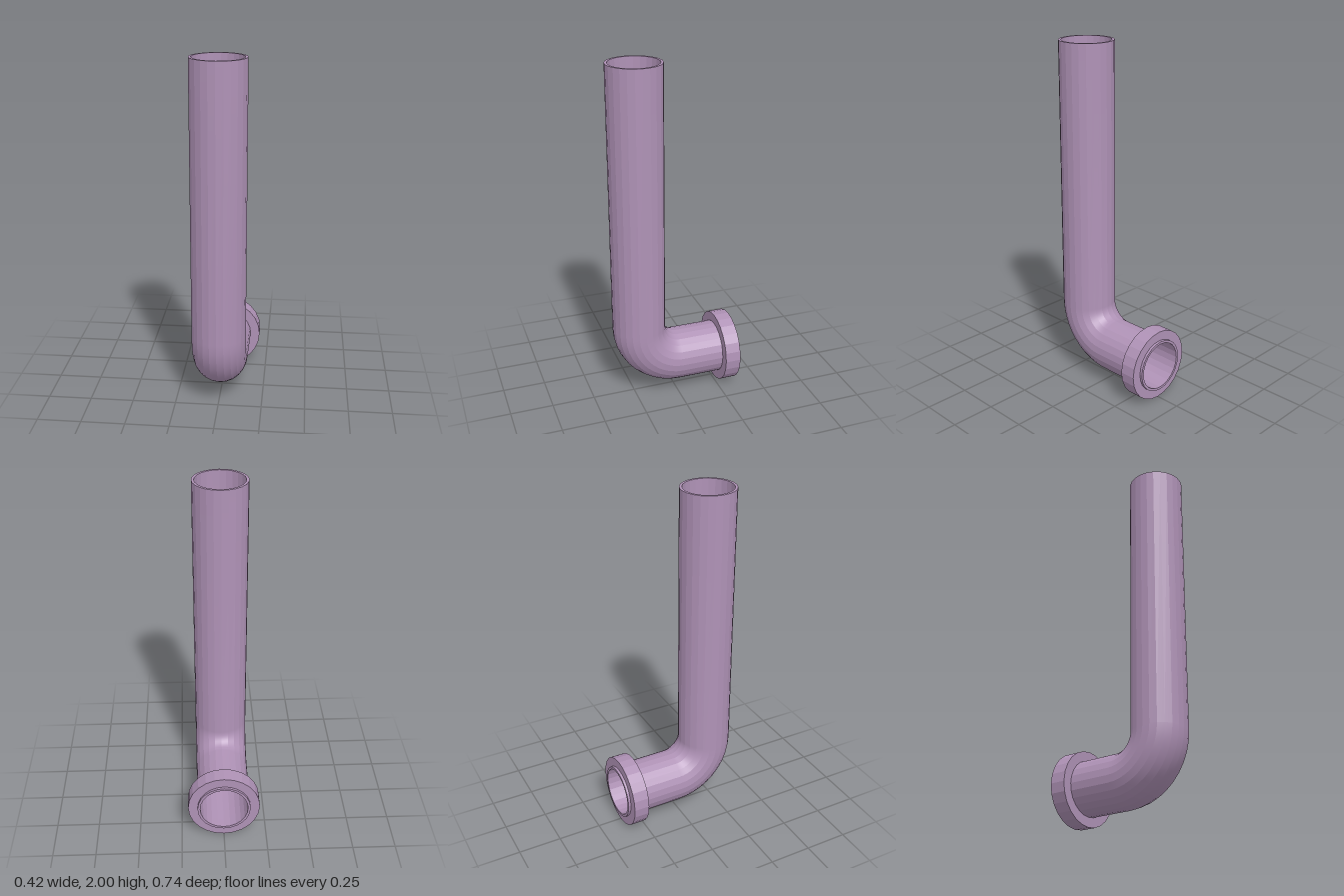
import * as THREE from 'three';
import { toCreasedNormals } from 'three/addons/utils/BufferGeometryUtils.js';

const SIDES = 24;
const BEND_STEPS = 10;
const OUTER = 0.155, INNER = 0.14;
const BEND_R = 0.23;            // centreline radius of the elbow
const BEND_Y = 0.44, BEND_Z = -0.017; // elbow centre
const TOP = 2, BACK = -0.37;

// Stations along the centreline: position and the outward direction of the bend
function stations() {
  const list = [{ y: TOP, z: BEND_Z + BEND_R, a: 0 }];
  for (let i = 0; i <= BEND_STEPS; i++) {
    const a = (i / BEND_STEPS) * Math.PI / 2;
    list.push({ y: BEND_Y - BEND_R * Math.sin(a), z: BEND_Z + BEND_R * Math.cos(a), a });
  }
  list.push({ y: BEND_Y - BEND_R, z: BACK, a: Math.PI / 2 });
  return list;
}

// Hollow pipe: rings run down the outside, then back along the inside, and close
function pipeGeometry() {
  const path = stations();
  const rings = [
    ...path.map((s) => ({ ...s, r: OUTER })),
    ...path.slice().reverse().map((s) => ({ ...s, r: INNER })),
  ];
  const positions = [], index = [];
  for (const { y, z, a, r } of rings) {
    for (let j = 0; j < SIDES; j++) {
      const p = (j / SIDES) * Math.PI * 2;
      const u = r * Math.sin(p);
      positions.push(r * Math.cos(p), y - u * Math.sin(a), z + u * Math.cos(a));
    }
  }
  for (let i = 0; i < rings.length; i++) {
    const n = (i + 1) % rings.length;
    for (let j = 0; j < SIDES; j++) {
      const k = (j + 1) % SIDES;
      const a = i * SIDES + j, b = i * SIDES + k, c = n * SIDES + k, d = n * SIDES + j;
      index.push(a, b, c, a, c, d);
    }
  }
  const geo = new THREE.BufferGeometry();
  geo.setAttribute('position', new THREE.Float32BufferAttribute(positions, 3));
  geo.setIndex(index);
  return toCreasedNormals(geo, 0.2);
}

// Collar ring around the rear end of the pipe
function collarGeometry() {
  const h = 0.046, r = 0.21, hole = 0.15;
  const profile = [[hole, -h], [r, -h], [r, h], [hole, h]].map(([x, y]) => new THREE.Vector2(x, y));
  const geo = new THREE.LatheGeometry(profile, SIDES);
  geo.rotateX(-Math.PI / 2);
  return toCreasedNormals(geo, 0.2);
}

export function createModel() {
  const group = new THREE.Group();
  group.name = 'elbowPipe';
  const mauve = new THREE.MeshStandardMaterial({ color: 0xaf92b6 });
  mauve.name = 'mauve';

  const pipe = new THREE.Mesh(pipeGeometry(), mauve);
  pipe.name = 'bentPipe';

  const collar = new THREE.Mesh(collarGeometry(), mauve);
  collar.name = 'collar';
  collar.position.set(0, BEND_Y - BEND_R, -0.309);

  group.add(pipe, collar);
  return group;
}
